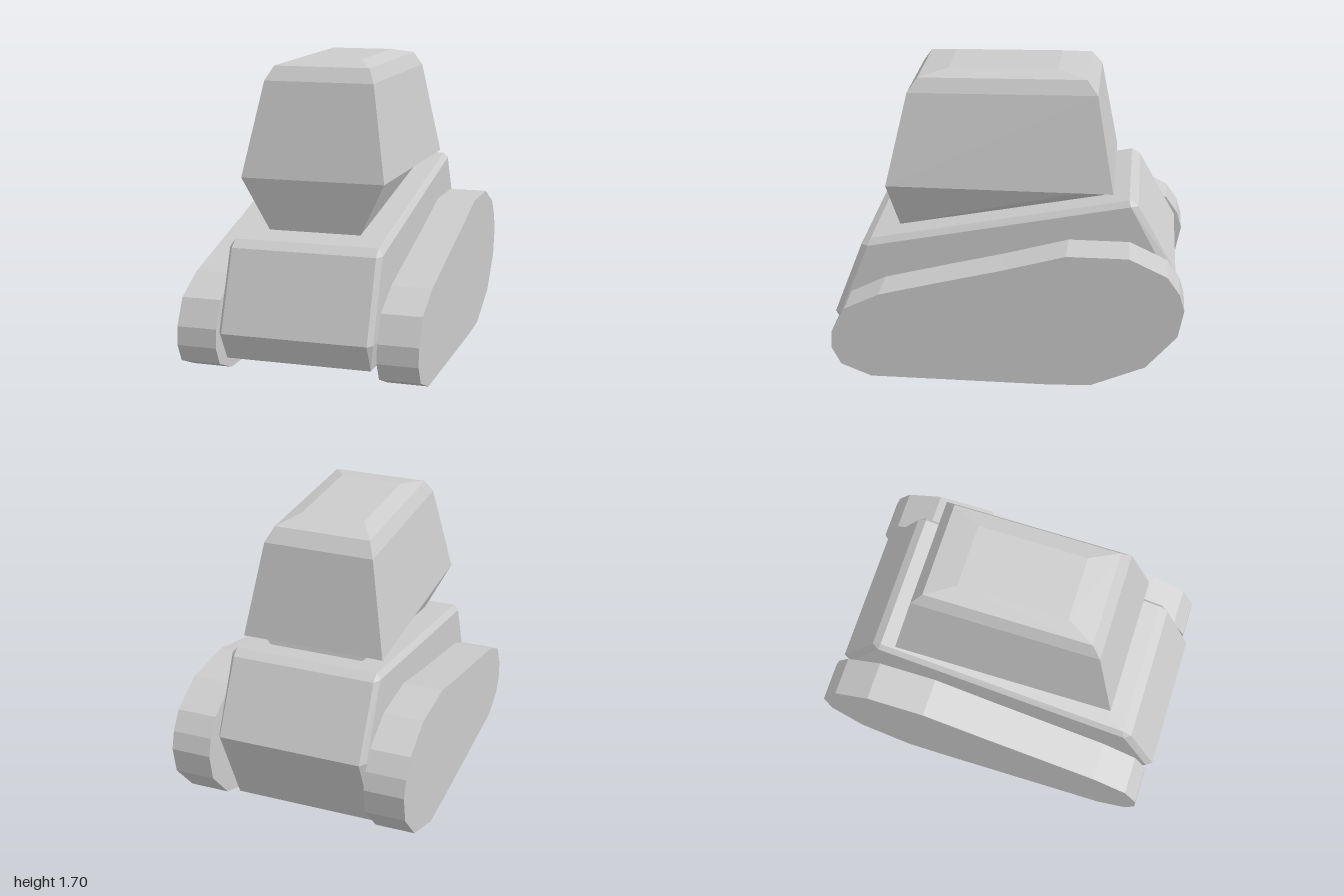
import * as THREE from 'three';
import { ConvexGeometry } from 'three/addons/geometries/ConvexGeometry.js';

const material = new THREE.MeshStandardMaterial({ color: 0xcccccc, flatShading: true });

// Convex faceted solid from corners given for one side and mirrored across x = 0.
function mirroredSolid(name, corners) {
  const points = [];
  for (const [x, y, z] of corners) {
    points.push(new THREE.Vector3(x, y, z), new THREE.Vector3(-x, y, z));
  }
  const mesh = new THREE.Mesh(new ConvexGeometry(points), material);
  mesh.name = name;
  return mesh;
}

// Side profile [z, y] placed at a fixed half width.
const profileAt = (x, profile) => profile.map(([z, y]) => [x, y, z]);

function createTrack(name, innerX) {
  const width = 0.225;
  const outline = [
    [-1, 0.5], [-0.97, 0.6], [-0.9, 0.7], [-0.69, 0.8], [-0.35, 0.8], [0, 0.7],
    [0.35, 0.61], [0.69, 0.52], [0.89, 0.42], [0.965, 0.275], [0.97, 0.17],
    [0.92, 0.07], [0.75, 0], [-0.27, 0], [-0.5, 0.01], [-0.8, 0.14], [-0.97, 0.34],
  ];
  const shape = new THREE.Shape(outline.map(([z, y]) => new THREE.Vector2(z, y)));
  const geometry = new THREE.ExtrudeGeometry(shape, { depth: width, bevelEnabled: false });
  geometry.rotateY(-Math.PI / 2); // profile into the zy plane, depth towards -x
  geometry.translate(innerX > 0 ? innerX + width : innerX, 0, 0);
  const mesh = new THREE.Mesh(geometry, material);
  mesh.name = name;
  return mesh;
}

export function createModel() {
  const model = new THREE.Group();
  model.name = 'trackedVehicle';

  // Wedge hull: centre profile plus a slightly wider inset profile for the chamfers
  model.add(mirroredSolid('hull', [
    ...profileAt(0.405, [
      [1, 0.265], [0.83, 0.7], [0.775, 0.74], [-0.68, 1.03],
      [-0.73, 1], [-0.95, 0.61], [-0.73, 0.11], [0.92, 0.11],
    ]),
    ...profileAt(0.43, [[0.965, 0.265], [0.79, 0.7], [-0.69, 1], [-0.9, 0.6], [-0.75, 0.27]]),
  ]));

  // Neck: flares from the sloping deck up to the cabin floor
  model.add(mirroredSolid('neck', [
    [0.405, 1.06, 0.68], [0.33, 1.06, -0.52],
    [0.26, 0.768, 0.63], [0.25, 0.98, -0.54],
  ]));

  // Cabin: tapering walls, bevelled shoulder and shallow roof
  const cabinRings = [
    // half width, front z, front y, back z, back y
    [0.405, 0.68, 1.06, -0.59, 1.06],
    [0.31, 0.56, 1.58, -0.49, 1.595],
    [0.272, 0.505, 1.658, -0.43, 1.672],
    [0.18, 0.345, 1.69, -0.265, 1.7],
  ];
  model.add(mirroredSolid('cabin', cabinRings.flatMap(
    ([x, frontZ, frontY, backZ, backY]) => [[x, frontY, frontZ], [x, backY, backZ]],
  )));

  // Tracks
  model.add(createTrack('leftTrack', 0.45), createTrack('rightTrack', -0.45));

  return model;
}
